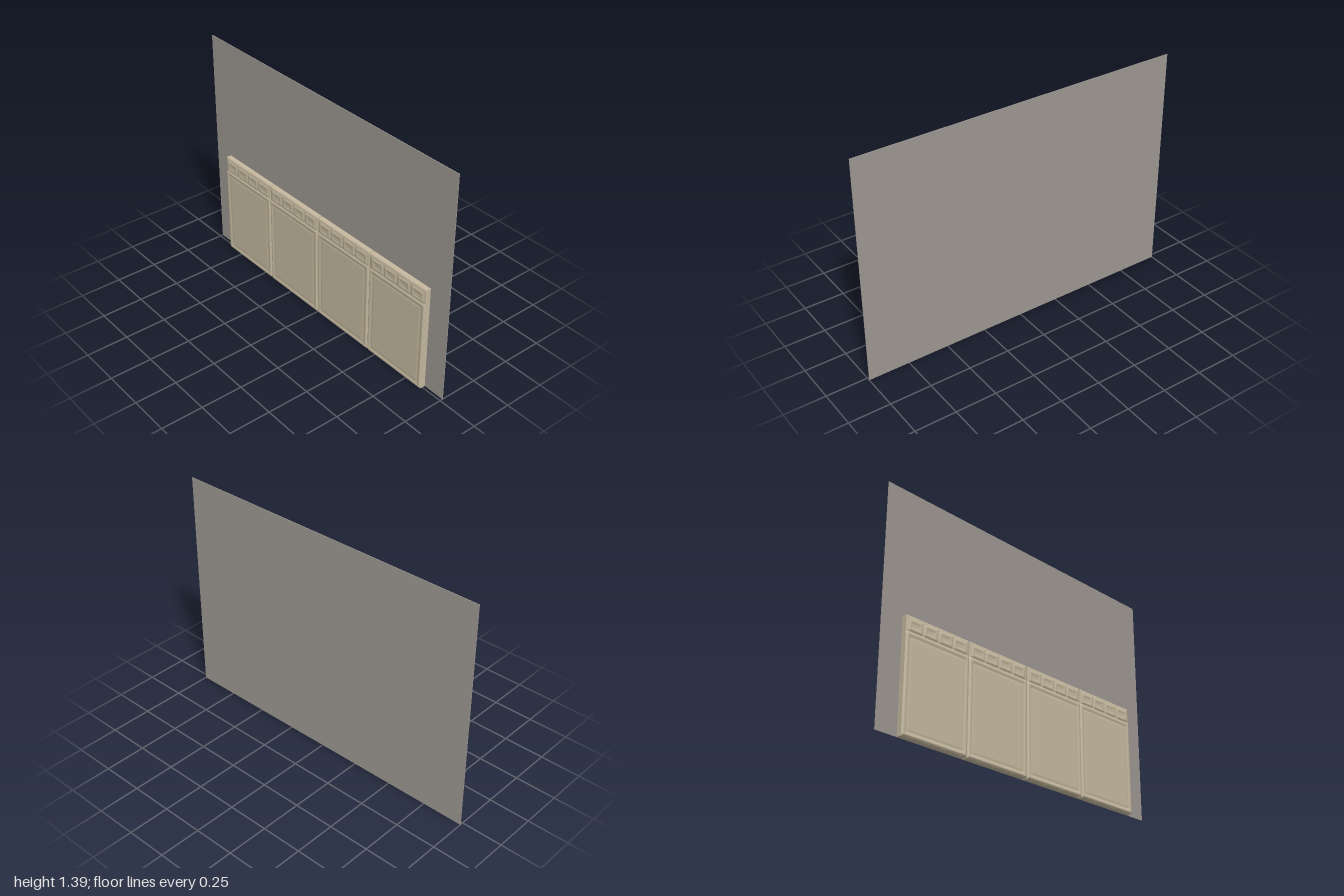
import * as THREE from 'three';

const W = 0.428, H = 0.648, PITCH = 0.434; // one panel and its spacing
const BACK = -0.017, SLAB = 0.013;         // slab depth range

// Smoothly interpolates a relief profile of [distance, z] pairs
function profile(points, d) {
  if (d <= points[0][0]) return points[0][1];
  for (let i = 1; i < points.length; i++) {
    const [d0, z0] = points[i - 1], [d1, z1] = points[i];
    if (d < d1) return z0 + (z1 - z0) * THREE.MathUtils.smoothstep(d, d0, d1);
  }
  return points[points.length - 1][1];
}

// Distance inside a rectangle, negative outside
const inset = (x, y, x0, x1, y0, y1) => Math.min(x - x0, x1 - x, y - y0, y1 - y);

const FRAME = [[0, 0.0135], [0.006, 0.021], [0.018, 0.0205], [0.027, 0.0165], [0.038, 0.019]];
const STRIP = [[0, 0.0135], [0.008, 0.0165]];
const BOX_RIM = [[-0.003, 0], [0.007, 0.0045], [0.012, 0.0045], [0.022, 0.0015]];

// Moulded front: a big framed field below, four small framed boxes above
function reliefZ(x, y) {
  const split = 0.558;
  if (y < split) return profile(FRAME, inset(x, y, -W / 2, W / 2, 0, split));
  let z = profile(STRIP, inset(x, y, -W / 2, W / 2, split, H));
  for (let i = 0; i < 4; i++) {
    const cx = (i - 1.5) * 0.102;
    z += profile(BOX_RIM, inset(x, y, cx - 0.045, cx + 0.045, 0.563, 0.63));
  }
  return z;
}

function reliefGeometry() {
  const geometry = new THREE.PlaneGeometry(W, H, 80, 110);
  geometry.translate(0, H / 2, 0);
  const p = geometry.attributes.position;
  for (let i = 0; i < p.count; i++) p.setZ(i, reliefZ(p.getX(i), p.getY(i)));
  geometry.computeVertexNormals();
  return geometry;
}

export function createModel() {
  const group = new THREE.Group();
  const wallGrey = new THREE.MeshStandardMaterial({ color: 0x9c9690 });
  const panelBeige = new THREE.MeshStandardMaterial({ color: 0xc4b89e });

  const add = (name, geometry, material, x, y, z, parent = group) => {
    const mesh = new THREE.Mesh(geometry, material);
    mesh.name = name;
    mesh.position.set(x, y, z);
    parent.add(mesh);
    return mesh;
  };

  // Thin wall behind
  add('wall', new THREE.BoxGeometry(2, 1.386, 0.004), wallGrey, 0, 0.693, -0.019);

  // Row of four wainscot panels
  const slab = new THREE.BoxGeometry(W, H, SLAB - BACK);
  const relief = reliefGeometry();
  for (let i = 0; i < 4; i++) {
    const panel = new THREE.Group();
    panel.name = 'wainscotPanel' + (i + 1);
    panel.position.x = (i - 1.5) * PITCH;
    add('panelSlab', slab, panelBeige, 0, H / 2, (SLAB + BACK) / 2, panel);
    add('panelRelief', relief, panelBeige, 0, 0, 0, panel);
    group.add(panel);
  }
  return group;
}
